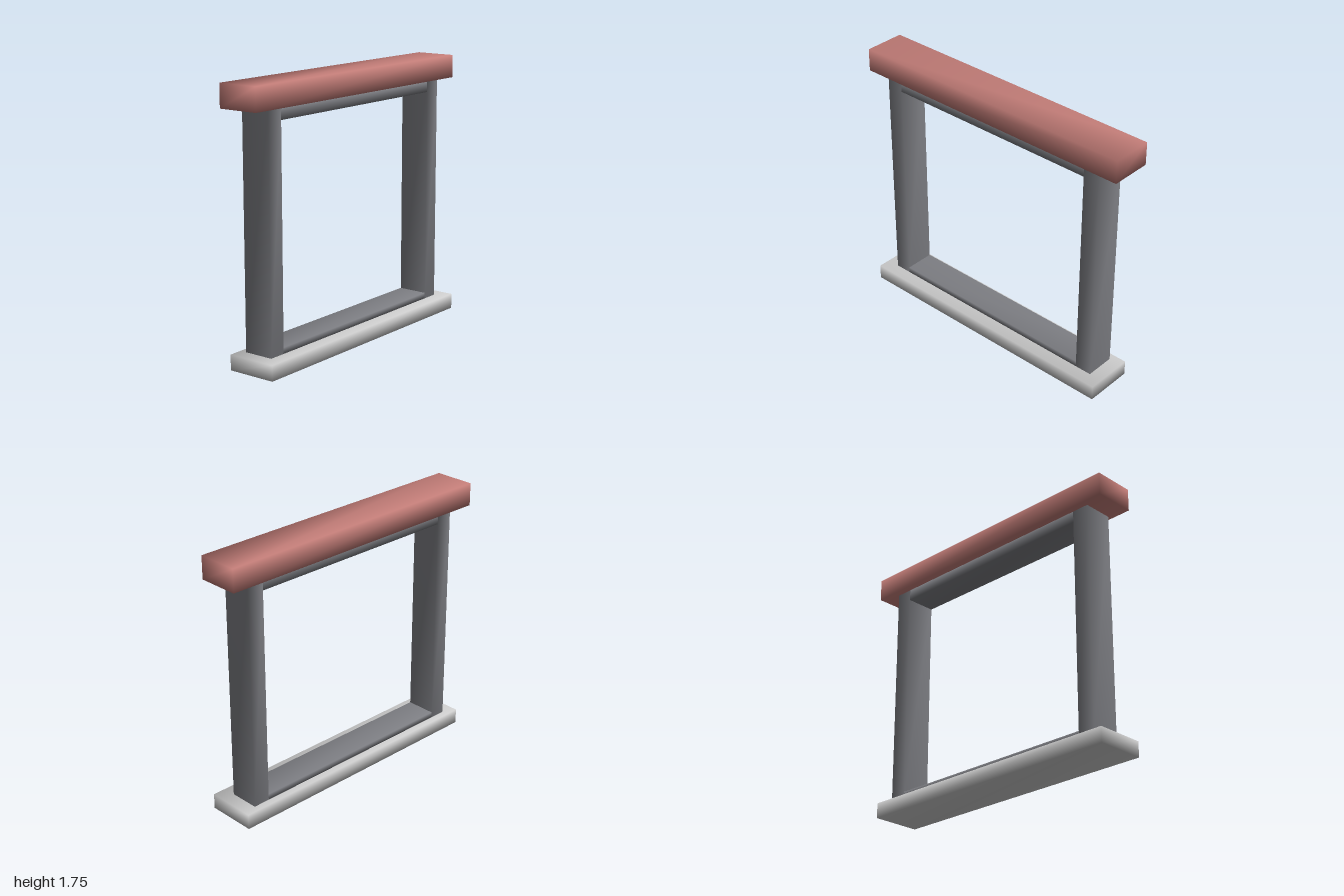
import * as THREE from 'three';
import { mergeVertices } from 'three/addons/utils/BufferGeometryUtils.js';

const material = (color) => new THREE.MeshStandardMaterial({ color });

// Box given by its extents, with corners welded so shading is smooth across edges
function beam(name, [x0, x1], [y0, y1], [z0, z1], mat) {
  let geo = new THREE.BoxGeometry(x1 - x0, y1 - y0, z1 - z0);
  geo.deleteAttribute('normal');
  geo.deleteAttribute('uv');
  geo = mergeVertices(geo);
  geo.computeVertexNormals();
  const mesh = new THREE.Mesh(geo, mat);
  mesh.name = name;
  mesh.position.set((x0 + x1) / 2, (y0 + y1) / 2, (z0 + z1) / 2);
  return mesh;
}

export function createModel() {
  const model = new THREE.Group();
  model.name = 'windowFrame';
  const red = material(0xc37d78);
  const dark = material(0x7d7e83);
  const grey = material(0xcccccc);

  // Sill at the foot and lintel on top
  model.add(beam('sill', [-0.95, 0.95], [0, 0.1], [-0.165, 0.165], grey));
  model.add(beam('lintel', [-1, 1], [1.6, 1.75], [-0.165, 0.11], red));

  // Side posts and the rails between them
  const depth = [-0.12, 0.08];
  model.add(beam('leftPost', [0.745, 0.86], [0.1, 1.6], depth, dark));
  model.add(beam('rightPost', [-0.86, -0.745], [0.1, 1.6], depth, dark));
  model.add(beam('bottomRail', [-0.745, 0.745], [0.1, 0.14], depth, dark));
  model.add(beam('topRail', [-0.745, 0.745], [1.525, 1.6], depth, dark));

  return model;
}
